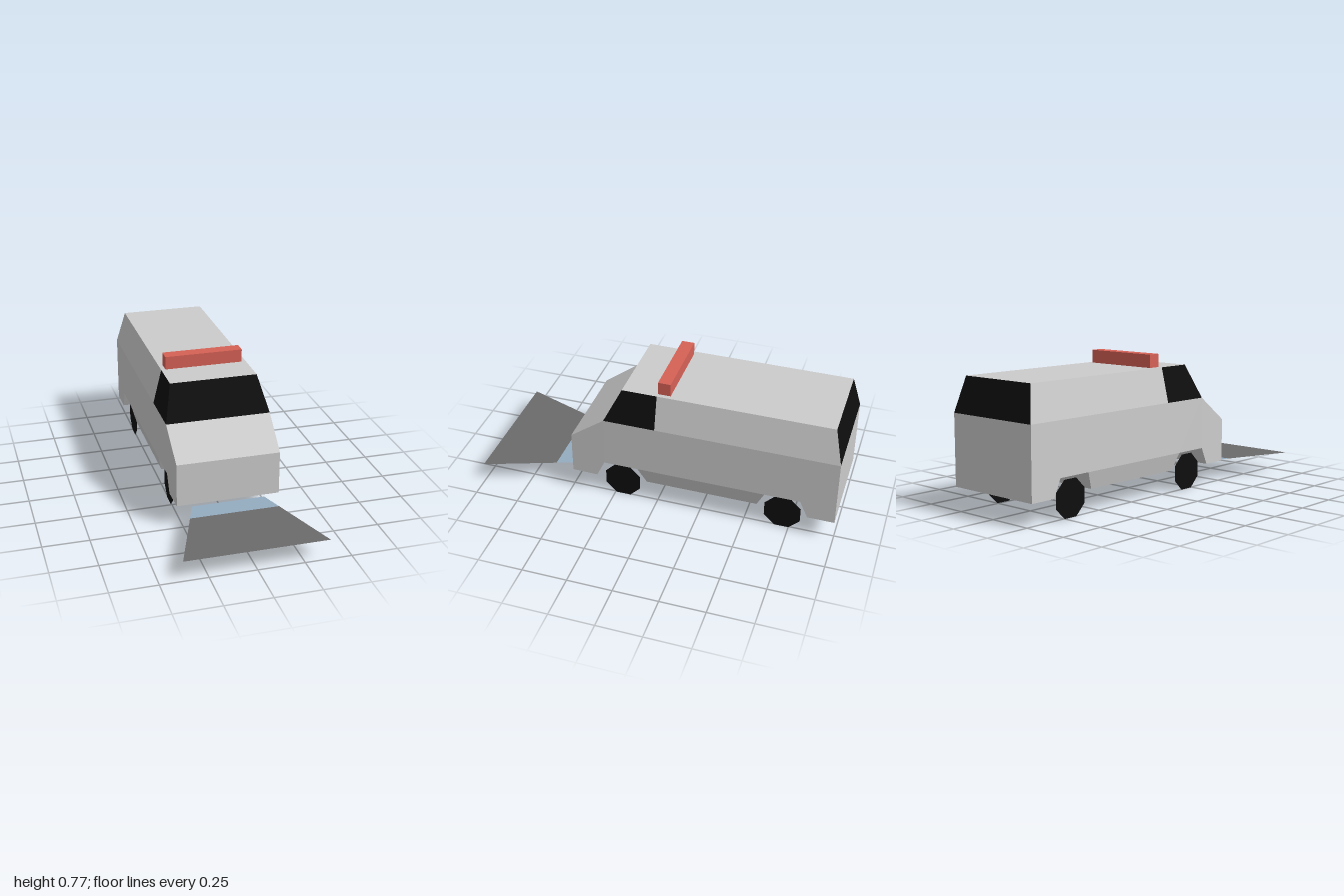
import * as THREE from 'three';

const flat = (name, color, side = THREE.FrontSide) => {
  const m = new THREE.MeshStandardMaterial({ color, side });
  m.name = name;
  return m;
};

export function createModel() {
  const paint = flat('grey paint', 0xcccccc);
  const black = flat('black', 0x0e0e0e, THREE.DoubleSide);
  const red = flat('red', 0xd66156);
  const beamGrey = flat('beam grey', 0x6b6b6b, THREE.DoubleSide);
  const beamBlue = flat('beam blue', 0x94abc0, THREE.DoubleSide);

  const group = new THREE.Group();
  const add = (name, geo, mat) => {
    const mesh = new THREE.Mesh(geo, mat);
    mesh.name = name;
    group.add(mesh);
    return mesh;
  };

  // Side profile of [z, y] points, extruded across x to a half-width rule
  const across = (name, profile, halfWidth) => {
    const shape = new THREE.Shape(profile.map(p => new THREE.Vector2(...p)));
    const geo = new THREE.ExtrudeGeometry(shape, { depth: 1, bevelEnabled: false });
    geo.translate(0, 0, -0.5).rotateY(-Math.PI / 2);
    const pos = geo.attributes.position;
    for (let i = 0; i < pos.count; i++) {
      pos.setX(i, Math.sign(pos.getX(i)) * halfWidth(pos.getY(i), pos.getZ(i)));
    }
    geo.computeVertexNormals();
    add(name, geo, paint);
  };

  // Four-cornered panel, corners counter-clockwise from outside
  const panel = (name, mat, [a, b, c, d]) => {
    const geo = new THREE.BufferGeometry();
    geo.setAttribute('position', new THREE.Float32BufferAttribute([a, b, c, a, c, d].flat(), 3));
    geo.computeVertexNormals();
    add(name, geo, mat);
  };
  const mirrored = (name, mat, pts) => {
    panel(name + 'Left', mat, pts);
    panel(name + 'Right', mat, pts.map(([x, y, z]) => [-x, y, z]).reverse());
  };

  const W = 0.287, R = 0.24;          // half-widths at belt and roof
  const belt = 0.51, top = 0.70;
  const base = 0.125, arch = 0.222;

  // Lower body with open wheel arches, narrowing slightly to the nose
  across('lowerBody', [
    [0.49, base], [0.49, 0.365], [0.295, belt], [-1, belt], [-1, base],
    [-0.852, base], [-0.808, arch], [-0.612, arch],
    [0.105, arch], [0.30, arch], [0.345, base],
  ], (y, z) => W - 0.005 * Math.max(0, (z - 0.295) / 0.195));

  // Sill between the arches, tucked in at the bottom
  across('sill', [[0.105, arch], [-0.612, arch], [-0.568, base], [0.06, base]],
    y => (y < 0.2 ? 0.262 : W));

  // Upper cabin
  const zf = 0.295, zrf = 0.20, zs = 0.005, zrr = -0.955, zr = -1;
  panel('roof', paint, [[-R, top, zrf], [R, top, zrf], [R, top, zrr], [-R, top, zrr]]);
  panel('windshield', black, [[-W, belt, zf], [W, belt, zf], [R, top, zrf], [-R, top, zrf]]);
  panel('rearWindow', black, [[W, belt, zr], [-W, belt, zr], [-R, top, zrr], [R, top, zrr]]);
  mirrored('sideWindow', black, [[W, belt, zf], [W, belt, zs], [R, top, zs], [R, top, zrf]]);
  mirrored('sidePanel', paint, [[W, belt, zs], [W, belt, zr], [R, top, zrr], [R, top, zs]]);

  // Light bar on the roof
  add('lightBar', new THREE.BoxGeometry(0.432, 0.072, 0.07), red).position.set(0, 0.736, -0.03);

  // Flat octagonal wheels
  for (const z of [0.203, -0.71]) {
    for (const s of [1, -1]) {
      const geo = new THREE.CircleGeometry(0.1 / Math.cos(Math.PI / 8), 8, Math.PI / 8);
      const wheel = add('wheel', geo, black);
      wheel.rotation.y = s * Math.PI / 2;
      wheel.position.set(s * 0.255, 0.1, z);
    }
  }

  // Headlight beam: flat trapezoid, bluish near the nose
  const beamY = 0.112;
  const beam = (name, mat, z0, z1) => {
    const half = z => 0.2 + (z - 0.49) * 0.355;
    panel(name, mat, [
      [-half(z1), beamY, z1], [half(z1), beamY, z1],
      [half(z0), beamY, z0], [-half(z0), beamY, z0],
    ]);
  };
  beam('beamNear', beamBlue, 0.49, 0.61);
  beam('beamFar', beamGrey, 0.61, 1);

  return group;
}
